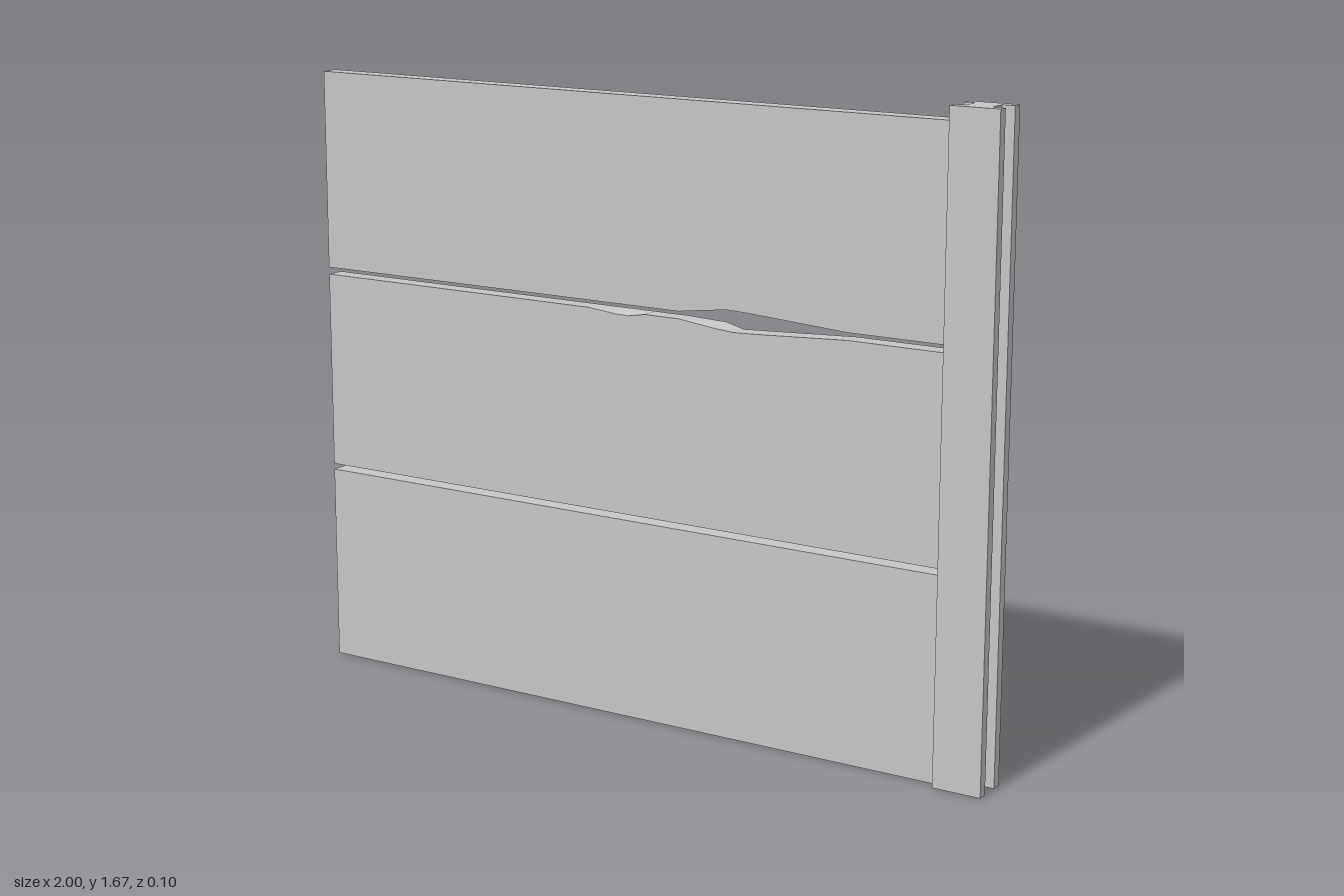
import * as THREE from 'three';

const concrete = new THREE.MeshStandardMaterial({ color: 0xc5c5c5 });
concrete.name = 'light concrete grey';

const LEFT = -1, RIGHT = 0.898, HALF = 0.025;

// Piecewise-linear height of an edge through [x, y offset] points
function edge(points, x) {
  for (let i = 1; i < points.length; i++) {
    const [x0, y0] = points[i - 1], [x1, y1] = points[i];
    if (x >= x0 && x <= x1) return y0 + ((y1 - y0) * (x - x0)) / (x1 - x0);
  }
  return 0;
}

// A plank whose long edges are chipped by offsets along x
function plank(name, y0, y1, { xs = [], topFront = [], topBack = [], bottom = [] } = {}) {
  const columns = [LEFT, ...xs, RIGHT];
  const n = columns.length - 1;
  const box = new THREE.BoxGeometry(n, 1, 1, n, 1, 1);
  const p = box.attributes.position;
  for (let i = 0; i < p.count; i++) {
    const x = columns[Math.round(p.getX(i) + n / 2)];
    const front = p.getZ(i) > 0;
    const y = p.getY(i) > 0
      ? y1 + edge(front ? topFront : topBack, x)
      : y0 + edge(bottom, x);
    p.setXYZ(i, x, y, front ? HALF : -HALF);
  }
  const geometry = box.toNonIndexed();
  geometry.computeVertexNormals();
  const mesh = new THREE.Mesh(geometry, concrete);
  mesh.name = name;
  return mesh;
}

// Upright H-section post with a slot on either side
function post() {
  const x0 = 0.87, x1 = 1, w0 = RIGHT, w1 = 0.967, d = 0.051;
  const outline = [
    [x0, -d], [x1, -d], [x1, -HALF], [w1, -HALF], [w1, HALF], [x1, HALF],
    [x1, d], [x0, d], [x0, HALF], [w0, HALF], [w0, -HALF], [x0, -HALF],
  ];
  const shape = new THREE.Shape(outline.map(([x, z]) => new THREE.Vector2(x, z)));
  const geometry = new THREE.ExtrudeGeometry(shape, { depth: 1.667, bevelEnabled: false });
  geometry.rotateX(-Math.PI / 2);
  const mesh = new THREE.Mesh(geometry, concrete);
  mesh.name = 'slottedPost';
  return mesh;
}

export function createModel() {
  const group = new THREE.Group();
  group.name = 'fencePanel';

  // Broken edges around the gap between the upper planks
  const chip = [[-0.15, 0], [-0.07, -0.008], [-0.03, -0.009], [0.02, 0]];
  const frontHole = [[0.12, 0], [0.23, -0.013], [0.28, -0.017], [0.33, -0.015], [0.6, 0]];
  const backHole = [[0.12, 0], [0.23, -0.004], [0.28, -0.017], [0.6, 0]];

  group.add(
    plank('lowerPlank', 0, 0.532),
    plank('middlePlank', 0.548, 1.079, {
      xs: [-0.15, -0.07, -0.03, 0.02, 0.12, 0.23, 0.28, 0.33, 0.6],
      topFront: [...chip, ...frontHole],
      topBack: backHole,
    }),
    plank('upperPlank', 1.098, 1.629, {
      xs: [0.12, 0.26, 0.32, 0.6],
      bottom: [[0.12, 0], [0.26, 0.019], [0.32, 0.017], [0.6, 0]],
    }),
    post(),
  );
  return group;
}
